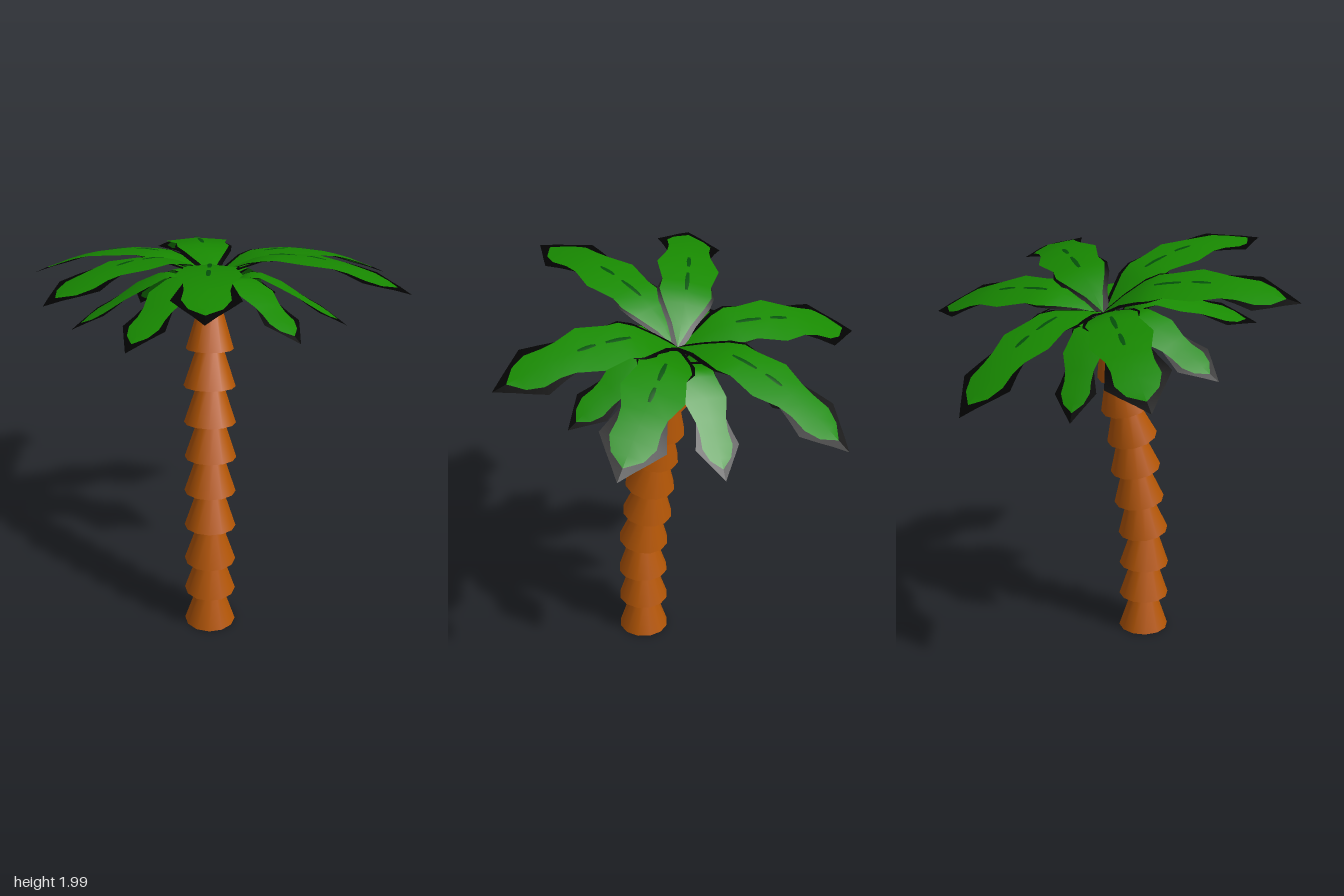
import * as THREE from 'three';

const mat = (name, color, extra = {}) => {
  const m = new THREE.MeshStandardMaterial({ color, ...extra });
  m.name = name;
  return m;
};

// Leaf stations: distance from crown, outer half width, green half width, height of upper leaf, of lower leaf
const LEAF = [
  [0.0, 0.03, 0.0, 0.025, -0.16], [0.1, 0.068, 0.044, 0.085, -0.02], [0.2, 0.122, 0.098, 0.13, 0.065],
  [0.27, 0.138, 0.125, 0.147, 0.085], [0.34, 0.117, 0.117, 0.152, 0.08], [0.48, 0.15, 0.15, 0.147, 0.02],
  [0.6, 0.107, 0.107, 0.126, -0.055], [0.67, 0.128, 0.1, 0.108, -0.1], [0.75, 0.155, 0.108, 0.082, -0.145],
  [0.82, 0.1, 0.075, 0.053, -0.19], [0.88, 0.052, 0, 0.03, -0.23], [0.945, 0, 0, 0, -0.275],
];
const UPPER = 3, LOWER = 4;

// Height of the upper leaf's midrib at distance r
function ribHeight(r) {
  const i = LEAF.findIndex((s) => s[0] >= r);
  const [a, b] = [LEAF[i - 1], LEAF[i]];
  return THREE.MathUtils.lerp(a[UPPER], b[UPPER], (r - a[0]) / (b[0] - a[0]));
}

// Sheet made of rows [r, height, v0, v1, ...]; edges droop slightly from the midrib
function sheet(rows, pos = [], index = []) {
  const start = pos.length / 3;
  const n = rows[0].length - 2;
  rows.forEach(([r, h, ...vs], i) => {
    vs.forEach((v) => pos.push(r, h - 0.09 * Math.abs(v), v));
    if (i === 0) return;
    for (let j = 0; j < n - 1; j++) {
      const a = start + (i - 1) * n + j, c = a + n;
      if (rows[i - 1][j + 2] !== rows[i - 1][j + 3]) index.push(a, a + 1, c);
      if (rows[i][j + 2] !== rows[i][j + 3]) index.push(a + 1, c + 1, c);
    }
  });
  return { pos, index };
}

function toGeometry({ pos, index }) {
  const g = new THREE.BufferGeometry();
  g.setAttribute('position', new THREE.Float32BufferAttribute(pos, 3));
  g.setIndex(index);
  g.computeVertexNormals();
  return g;
}

// Green blade and black edge for one of the two leaf curves
function leafSurfaces(curve) {
  const rim = sheet(LEAF.map((s) => [s[0], s[curve], -s[1], -s[2]]));
  return {
    blade: toGeometry(sheet(LEAF.map((s) => [s[0], s[curve], -s[2], 0, s[2]]))),
    edge: toGeometry(sheet(LEAF.map((s) => [s[0], s[curve], s[2], s[1]]), rim.pos, rim.index)),
  };
}

export function createModel() {
  const bark = mat('bark brown', 0xb45605);
  const green = mat('leaf green', 0x188a01, { side: THREE.DoubleSide });
  const black = mat('leaf edge black', 0x020202, { side: THREE.DoubleSide });
  const dark = mat('vein dark green', 0x04520a, { side: THREE.DoubleSide });

  const palm = new THREE.Group();
  palm.name = 'palmTree';
  const up = new THREE.Vector3(0, 1, 0);

  // Trunk: stacked flared rings, leaning more towards the top [x, y, z, lean]
  const trunk = new THREE.Group();
  trunk.name = 'trunk';
  const rings = [
    [-0.16, 0, 0.19, 0], [-0.16, 0.185, 0.19, 0], [-0.16, 0.36, 0.19, 0],
    [-0.155, 0.548, 0.185, 0.09], [-0.137, 0.728, 0.165, 0.1], [-0.12, 0.905, 0.15, 0.12],
    [-0.105, 1.08, 0.13, 0.16], [-0.08, 1.255, 0.1, 0.18], [-0.055, 1.435, 0.075, 0.19],
  ];
  rings.forEach(([x, y, z, lean], i) => {
    const last = i === rings.length - 1;
    const h = last ? 0.27 : 0.21;
    const geo = new THREE.CylinderGeometry(last ? 0.034 : 0.055, last ? 0.113 : 0.124, h, 12, 1, false, Math.PI / 12);
    const ring = new THREE.Mesh(geo.translate(0, h / 2, 0), bark);
    ring.name = 'trunkRing';
    ring.position.set(x, y, z);
    ring.quaternion.setFromUnitVectors(up, new THREE.Vector3(lean, 1, -lean).normalize());
    trunk.add(ring);
  });
  palm.add(trunk);

  // Shared leaf surfaces, and the dashed vein of the upper leaves
  const upper = leafSurfaces(UPPER);
  const lower = leafSurfaces(LOWER);
  const dash = (r0, r1) => [0, 0.25, 0.5, 0.75, 1].map((t) => {
    const r = r0 + (r1 - r0) * t;
    const w = 0.006 + 0.005 * Math.sin(Math.PI * t);
    return [r, ribHeight(r) + 0.005, -w, 0, w];
  });
  const first = sheet(dash(0.275, 0.405));
  const vein = toGeometry(sheet(dash(0.455, 0.545), first.pos, first.index));

  function makeLeaf(name, surfaces, degrees) {
    const leaf = new THREE.Group();
    leaf.name = name;
    const blade = new THREE.Mesh(surfaces.blade, green);
    blade.name = 'leafBlade';
    const edge = new THREE.Mesh(surfaces.edge, black);
    edge.name = 'leafEdge';
    leaf.add(blade, edge);
    leaf.rotation.y = -THREE.MathUtils.degToRad(degrees);
    return leaf;
  }

  // Crown, tilted with the trunk
  const crown = new THREE.Group();
  crown.name = 'crown';
  crown.position.set(0.01, 1.725, 0.02);
  crown.quaternion.setFromUnitVectors(up, new THREE.Vector3(0.184, 1, -0.194).normalize());

  // Long upper leaves, every second one lying over its neighbours
  [16, 60.8, 135, 184, 247.5, 304].forEach((a, i) => {
    const leaf = makeLeaf('upperLeaf', upper, a);
    const rib = new THREE.Mesh(vein, dark);
    rib.name = 'leafVein';
    leaf.add(rib);
    leaf.position.y = i % 2 ? 0.005 : -0.008;
    crown.add(leaf);
  });

  // Short drooping leaves underneath [angle, scale]
  [[47, 0.67], [94, 0.66], [166, 0.74], [212.5, 0.7], [278.5, 0.66], [337, 0.705]].forEach(([a, scale]) => {
    const leaf = makeLeaf('lowerLeaf', lower, a);
    leaf.scale.setScalar(scale);
    crown.add(leaf);
  });
  palm.add(crown);
  return palm;
}
